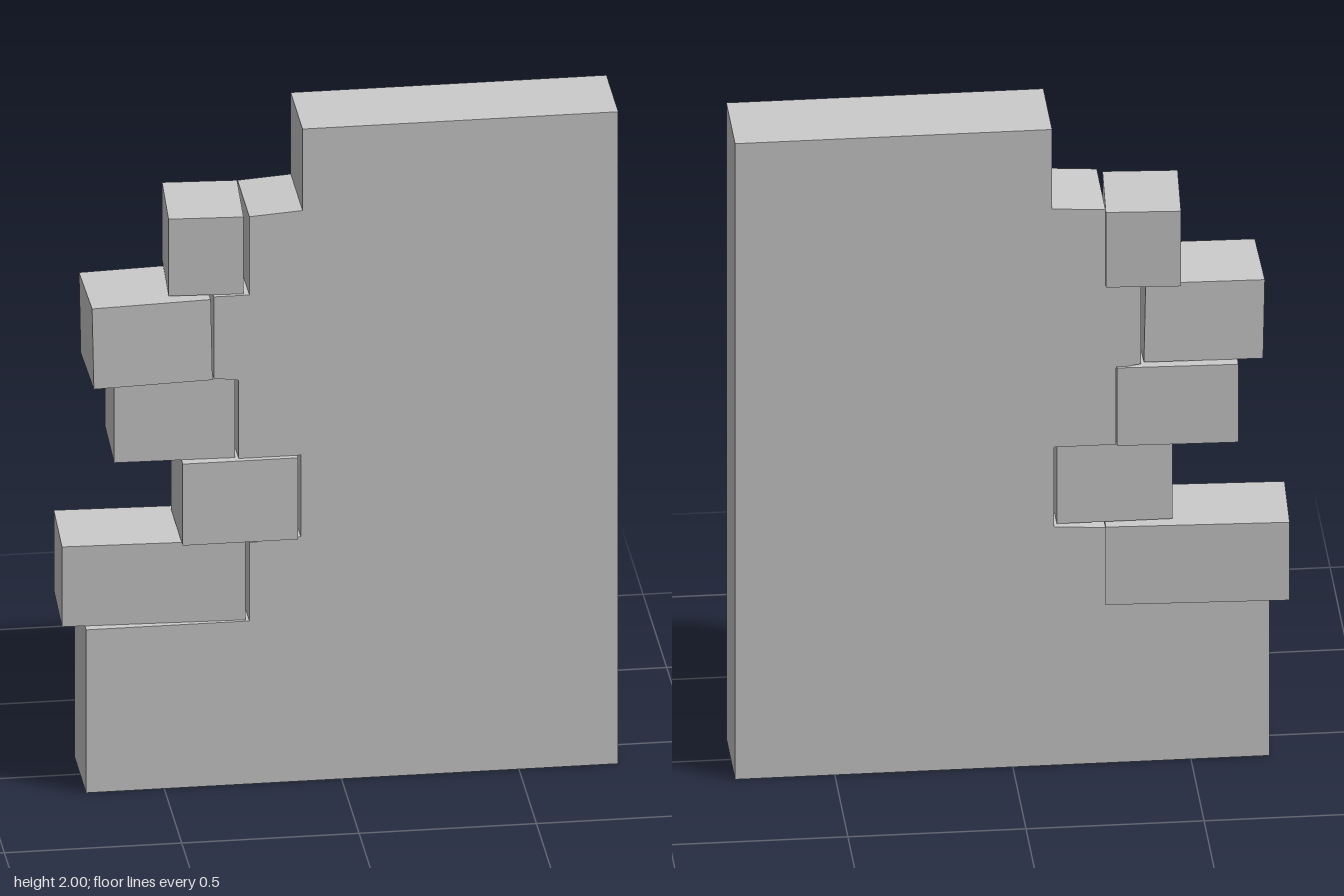
import * as THREE from 'three';

export function createModel() {
  const group = new THREE.Group();
  const material = new THREE.MeshStandardMaterial({
    color: 0xcccccc, flatShading: true, side: THREE.DoubleSide,
  });

  // Wall slab with a stepped, broken edge
  const outline = [
    [-0.72, 0], [0.78, 0], [0.78, 2], [-0.11, 2], [-0.11, 1.75],
    [-0.26, 1.74], [-0.26, 1.5], [-0.36, 1.5], [-0.36, 1.25],
    [-0.29, 1.24], [-0.29, 1], [-0.115, 1], [-0.115, 0.75],
    [-0.26, 0.74], [-0.26, 0.5], [-0.72, 0.5],
  ].map(([x, y]) => new THREE.Vector2(x, y));
  const slab = new THREE.ExtrudeGeometry(new THREE.Shape(outline), {
    depth: 0.25, bevelEnabled: false,
  });
  slab.translate(0, 0, -0.122);

  // Leave the underside open: drop triangles lying on the ground
  const p = slab.attributes.position;
  const kept = [];
  for (let i = 0; i < p.count; i += 3) {
    if (Math.max(p.getY(i), p.getY(i + 1), p.getY(i + 2)) > 1e-4) kept.push(i, i + 1, i + 2);
  }
  slab.setIndex(kept);
  const wall = new THREE.Mesh(slab, material);
  wall.name = 'wall';
  group.add(wall);

  // Loose bricks along the broken edge: x, y, z, length, height, turn, tilt
  const bricks = [
    [-0.522, 0.623, -0.015, 0.515, 0.245, -0.04, 0],
    [-0.2875, 0.875, 0.02, 0.325, 0.25, 0, 0],
    [-0.465, 1.122, -0.01, 0.34, 0.245, -0.03, 0],
    [-0.537, 1.37, 0.015, 0.335, 0.247, 0.015, 0.02],
    [-0.3725, 1.618, -0.0125, 0.21, 0.236, -0.06, 0],
  ];
  bricks.forEach(([x, y, z, length, height, turn, tilt], i) => {
    const brick = new THREE.Mesh(new THREE.BoxGeometry(length, height, 0.25), material);
    brick.name = `brick${i + 1}`;
    brick.position.set(x, y, z);
    brick.rotation.set(0, turn, tilt);
    group.add(brick);
  });

  return group;
}
